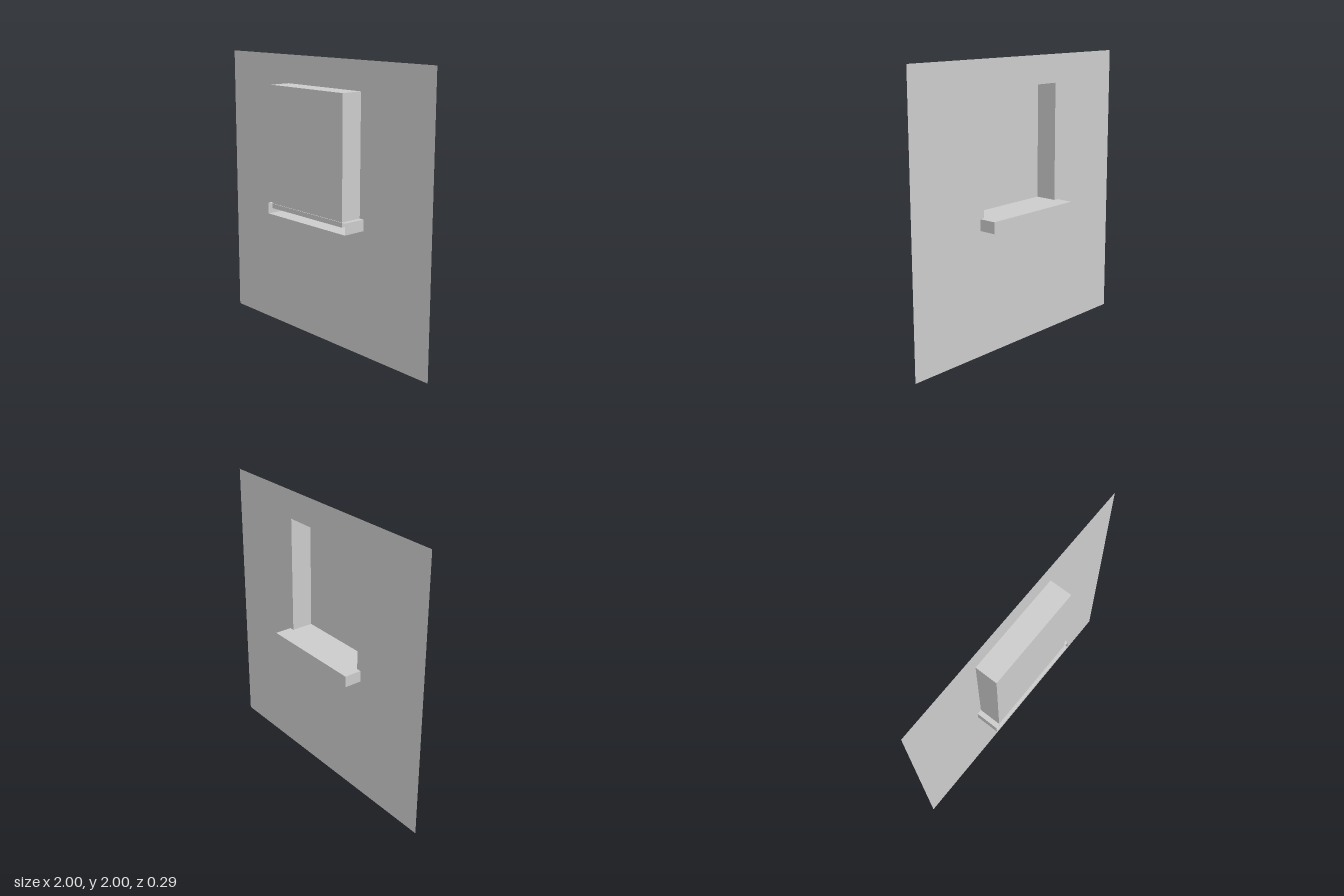
import * as THREE from 'three';

const HALF_W = 0.365, BOTTOM = 0.925, TOP = 1.8; // window opening
const WALL_Z = -0.02, PANE_Z = 0.14;
const SILL = { halfW: 0.4, y0: 0.88, y1: 0.96, z0: -0.146, z1: 0.146 };

export function createModel() {
  const group = new THREE.Group();
  const material = new THREE.MeshStandardMaterial({ color: 0xcccccc, side: THREE.DoubleSide, flatShading: true });

  const add = (name, geometry) => {
    const mesh = new THREE.Mesh(geometry, material);
    mesh.name = name;
    group.add(mesh);
    return mesh;
  };
  // flat rectangle with a position and a turn
  const panel = (name, w, h, pos, rx = 0, ry = 0) => {
    const mesh = add(name, new THREE.PlaneGeometry(w, h));
    mesh.position.set(...pos);
    mesh.rotation.set(rx, ry, 0);
  };

  // thin wall sheet with the window opening cut out
  const wall = new THREE.Shape([[-1, 0], [1, 0], [1, 2], [-1, 2]].map(p => new THREE.Vector2(...p)));
  wall.holes.push(new THREE.Path(
    [[-HALF_W, BOTTOM], [-HALF_W, TOP], [HALF_W, TOP], [HALF_W, BOTTOM]].map(p => new THREE.Vector2(...p))));
  add('wall', new THREE.ShapeGeometry(wall).rotateY(Math.PI).translate(0, 0, WALL_Z));

  // window pane, set back from the wall by the reveals
  const h = TOP - BOTTOM, midY = (TOP + BOTTOM) / 2;
  const depth = PANE_Z - WALL_Z, midZ = (PANE_Z + WALL_Z) / 2;
  panel('windowPane', 2 * HALF_W, h, [0, midY, PANE_Z], 0, Math.PI);
  panel('topReveal', 2 * HALF_W, depth, [0, TOP, midZ], Math.PI / 2);
  for (const [side, name] of [[1, 'leftReveal'], [-1, 'rightReveal']])
    panel(name, depth, h, [side * HALF_W, midY, midZ], 0, -side * Math.PI / 2);

  // window sill: a shallow box left open on its +z side
  const { halfW, y0, y1, z0, z1 } = SILL;
  const sillY = (y0 + y1) / 2, sillZ = (z0 + z1) / 2;
  panel('sillTop', 2 * halfW, z1 - z0, [0, y1, sillZ], -Math.PI / 2);
  panel('sillBottom', 2 * halfW, z1 - z0, [0, y0, sillZ], Math.PI / 2);
  panel('sillEdge', 2 * halfW, y1 - y0, [0, sillY, z0], 0, Math.PI);
  for (const [side, name] of [[1, 'sillLeftEnd'], [-1, 'sillRightEnd']])
    panel(name, z1 - z0, y1 - y0, [side * halfW, sillY, sillZ], 0, side * Math.PI / 2);

  return group;
}
